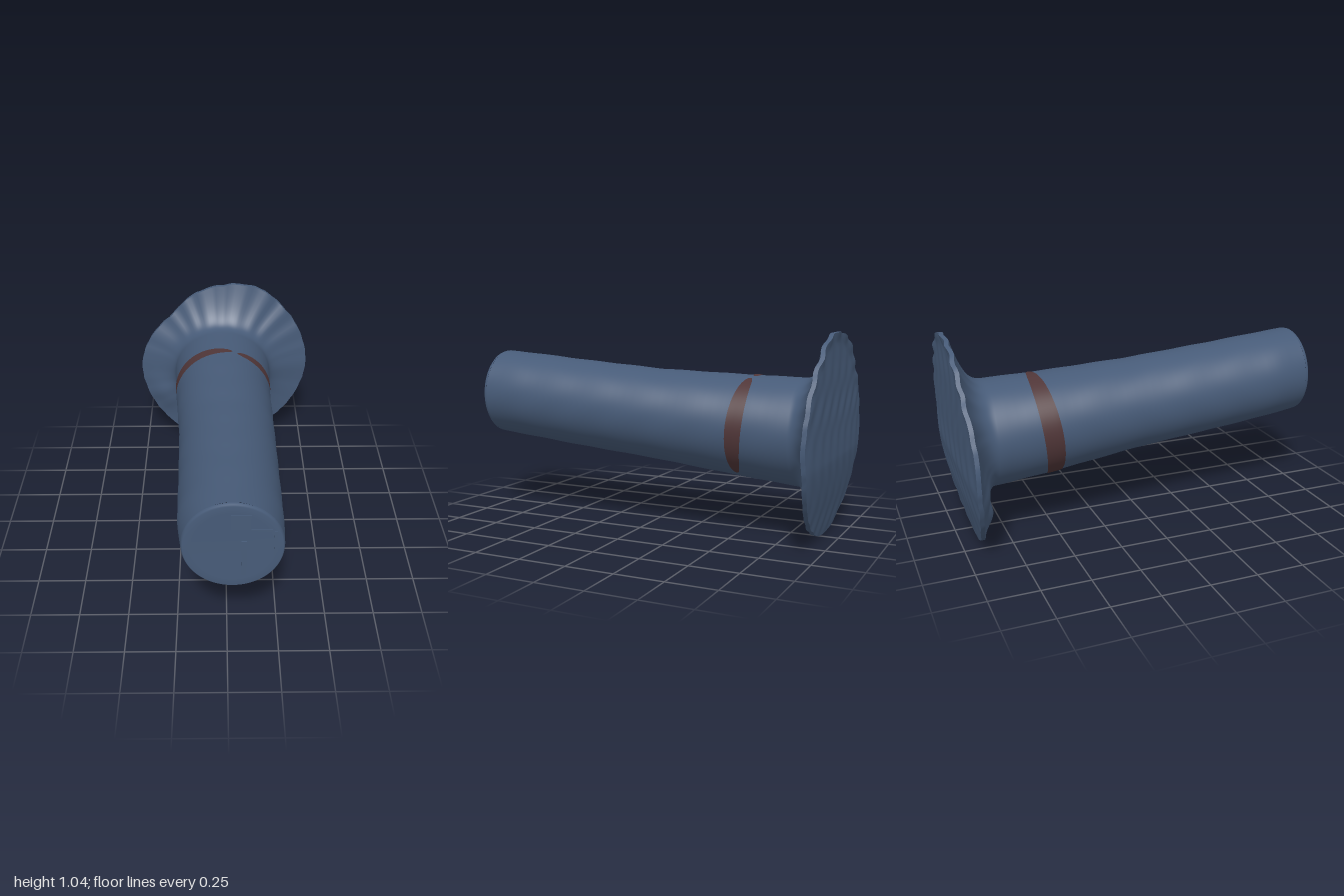
import * as THREE from 'three';

const N = 128; // segments around
const lerp = THREE.MathUtils.lerp;

// Tube limits along its length: z, xMin, xMax, yMin, yMax
const SECTIONS = [
  [-0.8, -0.3, 0.28, 0.255, 0.81],
  [-0.5, -0.285, 0.27, 0.283, 0.815],
  [0, -0.25, 0.27, 0.34, 0.83],
  [0.5, -0.237, 0.267, 0.383, 0.867],
  [0.8, -0.232, 0.265, 0.413, 0.893],
  [0.975, -0.21, 0.258, 0.43, 0.905],
];
// Uneven flange radius, every 22.5 degrees
const RIM = [0.52, 0.52, 0.522, 0.54, 0.518, 0.492, 0.458, 0.488,
  0.52, 0.525, 0.53, 0.535, 0.515, 0.495, 0.5, 0.51];

function tubePoint(a, z, grow = 0) {
  let i = 0;
  while (i < SECTIONS.length - 2 && z > SECTIONS[i + 1][0]) i++;
  const p = SECTIONS[i], q = SECTIONS[i + 1];
  const t = (z - p[0]) / (q[0] - p[0]);
  const [x0, x1, y0, y1] = [1, 2, 3, 4].map((k) => lerp(p[k], q[k], t));
  return new THREE.Vector3(
    (x0 + x1) / 2 + Math.cos(a) * ((x1 - x0) / 2 + grow),
    (y0 + y1) / 2 + Math.sin(a) * ((y1 - y0) / 2 + grow), z);
}

// Back surface of the flange: flat above, bending forward at the bottom
function backZ(x, y) {
  const low = Math.max(0, 0.42 - y) / 0.42;
  return -0.983 + 0.075 * Math.pow(low, 1.3) + 0.015 * Math.pow(Math.abs(x) / 0.52, 4)
    + 0.003 * Math.sin(x * 45 + 3 * Math.sin(y * 9)) * Math.sin(y * 16);
}

function rimPoint(a, scale = 1) {
  const u = ((a / (2 * Math.PI)) * 16 + 16) % 16, i = Math.floor(u), t = u - i;
  const g = (k) => RIM[(k + 16) % 16];
  // Catmull-Rom through the radii
  const [p, q, r, s] = [g(i - 1), g(i), g(i + 1), g(i + 2)];
  let rad = q + 0.5 * t * (r - p + t * (2 * p - 5 * q + 4 * r - s + t * (3 * (q - r) + s - p)));
  rad = (rad + 0.002 * Math.sin(a * 37) * Math.sin(a * 7)) * scale;
  const x = Math.cos(a) * rad, y = 0.522 + Math.sin(a) * rad;
  // Ragged lip along the upper edge
  const lip = THREE.MathUtils.smoothstep(scale, 0.9, 1) * Math.max(0, Math.sin(a));
  return new THREE.Vector3(x, y, backZ(x, y) - lip * (0.009 + 0.006 * Math.sin(a * 23)));
}

// Skin between rows of points; closed rows wrap around
function skin(name, rows, material, closed = true) {
  const n = rows[0].length, index = [];
  for (let i = 0; i < rows.length - 1; i++) {
    for (let j = 0; j < (closed ? n : n - 1); j++) {
      const k = (j + 1) % n, a = i * n + j, b = i * n + k;
      index.push(a, b, a + n, b, b + n, a + n);
    }
  }
  const geo = new THREE.BufferGeometry().setFromPoints(rows.flat());
  geo.setIndex(index);
  geo.computeVertexNormals();
  const mesh = new THREE.Mesh(geo, material);
  mesh.name = name;
  return mesh;
}

const ring = (fn) => Array.from({ length: N }, (_, j) => fn((j / N) * 2 * Math.PI));
const bump = (p, x, y, size) => Math.exp(-((p.x - x) ** 2 + (p.y - y) ** 2) / (size * size));

export function createModel() {
  const blue = new THREE.MeshStandardMaterial({ color: 0x475b78 });
  blue.name = 'slate blue';
  const red = new THREE.MeshStandardMaterial({ color: 0x503638 });
  red.name = 'dull red';
  const model = new THREE.Group();
  model.name = 'flangedTube';

  // Back face of the flange
  const back = [];
  for (let i = 0; i <= 28; i++) back.push(ring((a) => rimPoint(a, Math.max(i / 28, 0.001))));
  model.add(skin('flangeBack', back, blue));

  // Thin rim edge
  const rimFront = (a) => { const p = rimPoint(a); p.z += 0.022; return p; };
  model.add(skin('flangeEdge', [ring((a) => rimPoint(a)), ring(rimFront)], blue));

  // Flange front flaring into the tube, with lumps low on one side
  const body = [];
  for (let i = 0; i <= 28; i++) {
    const s = 1 - i / 28;
    body.push(ring((a) => {
      const rim = rimFront(a), p = tubePoint(a, -0.8);
      const z = lerp(-0.8, rim.z, s);
      p.lerp(rim, Math.pow(s, 2.6));
      p.z = z + Math.min(1, s * 3) * (1 - Math.pow(s, 10))
        * (0.05 * bump(p, -0.18, 0.14, 0.08) + 0.03 * bump(p, -0.4, 0.32, 0.12));
      return p;
    }));
  }
  // Long tapering tube
  for (let i = 1; i <= 36; i++) {
    const z = -0.8 + (1.775 * i) / 36;
    body.push(ring((a) => tubePoint(a, z, 0.001 * Math.sin(z * 23 + 2 * Math.sin(a * 3)))));
  }
  model.add(skin('tube', body, blue));

  // Slightly rounded closed end
  const cap = [[1, 0.975], [0.99, 0.988], [0.965, 0.994], [0.8, 0.993], [0.4, 0.991], [0.001, 0.991]];
  model.add(skin('tubeEnd', cap.map(([s, z]) => ring((a) => {
    const p = tubePoint(a, 0.975);
    return new THREE.Vector3(lerp(0.024, p.x, s), lerp(0.667, p.y, s), z);
  })), blue));

  // Shallow raised marks on the end: x, y, width, height
  const marks = [[0.06, 0.81, 0.09, 0.08], [0.075, 0.6, 0.025, 0.2],
    [0.15, 0.765, 0.1, 0.012], [0.215, 0.7, 0.014, 0.12]];
  for (const [x, y, w, h] of marks) {
    const mark = new THREE.Mesh(new THREE.BoxGeometry(w, h, 0.008), blue);
    mark.position.set(x, y, 0.993);
    mark.name = 'endMark';
    model.add(mark);
  }

  // Two painted bands with blunt ends: start and end angle, half width, slant
  const bands = [['bandLeft', -56, 73, 0.043, 0.022], ['bandRight', 79, 275, 0.05, 0.036]];
  for (const [name, from, to, half, slant] of bands) {
    const rows = [];
    for (let i = 0; i <= 4; i++) {
      rows.push(Array.from({ length: 65 }, (_, j) => {
        // Points gather at the ends to round them
        const t = (1 - Math.cos((Math.PI * j) / 64)) / 2;
        const a = THREE.MathUtils.degToRad(lerp(from, to, t));
        const w = half * Math.pow(Math.max(0.0005, Math.sin(Math.PI * t)), 0.42);
        return tubePoint(a, -0.523 - slant * Math.sin(a) + w * (i / 2 - 1), 0.0035);
      }));
    }
    model.add(skin(name, rows, red, false));
  }
  return model;
}
